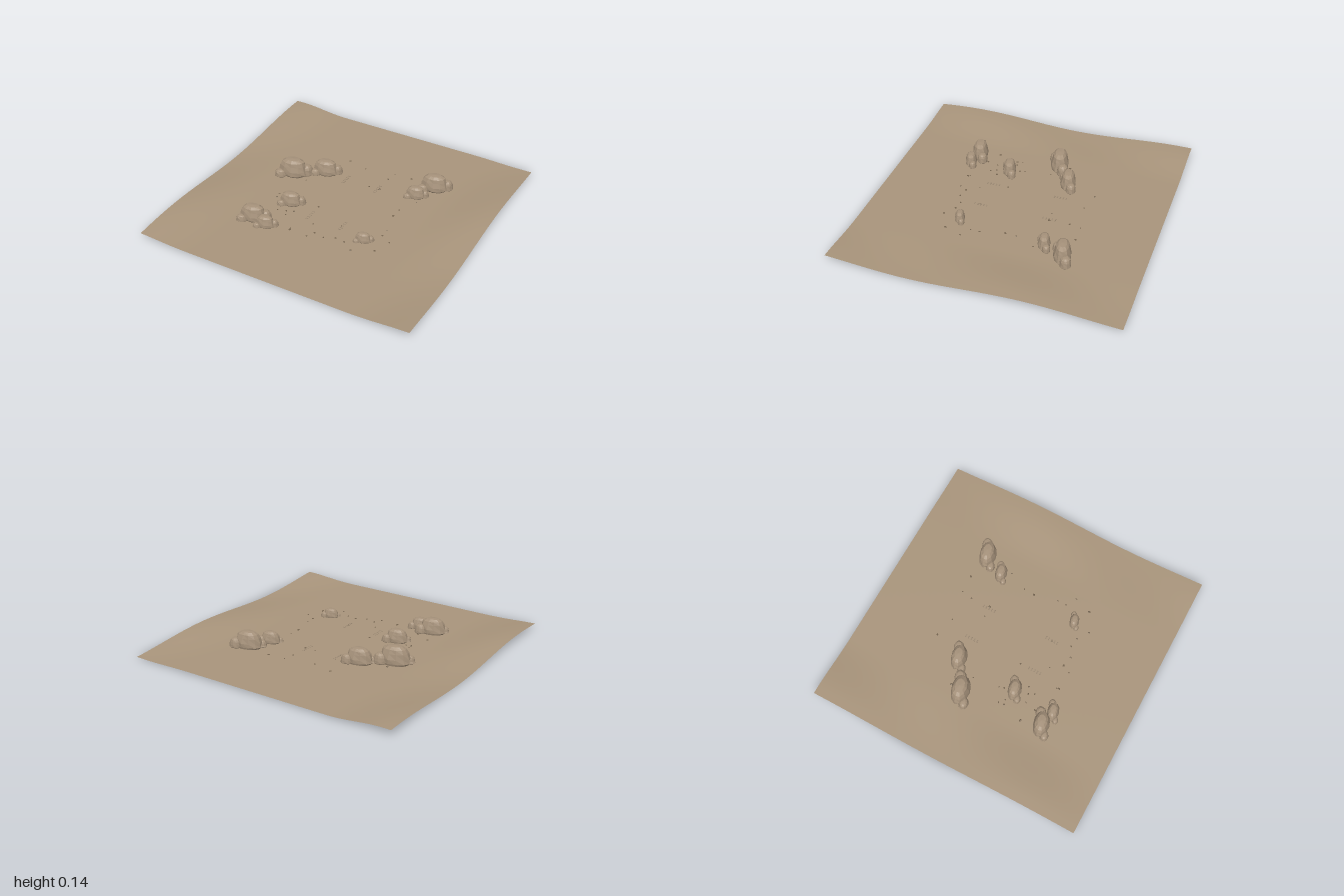
import * as THREE from 'three';

const GROUND_Y = 0.01;

function seeded(seed) {
  let s = seed;
  return () => (s = (s * 16807) % 2147483647) / 2147483647;
}

// Flat basin with slanting dunes along the two sides
function groundHeight(x, z) {
  const side = THREE.MathUtils.smoothstep(Math.abs(x), 0.55, 0.95);
  return GROUND_Y + side * (0.012 + 0.02 * Math.cos(4.0 * (z + 0.35) + 2.0 * (x - 1)));
}

function makeGround(material) {
  const geo = new THREE.PlaneGeometry(2, 2, 60, 60).rotateX(-Math.PI / 2);
  const p = geo.attributes.position;
  for (let i = 0; i < p.count; i++) p.setY(i, groundHeight(p.getX(i), p.getZ(i)));
  geo.computeVertexNormals();
  const mesh = new THREE.Mesh(geo, material);
  mesh.name = 'sandGround';
  return mesh;
}

// Unit boulder: steep sides, flattened crown, tucked-in base
function boulderGeometry(seed) {
  const rnd = seeded(seed);
  const profile = [[0, 0], [0.85, 0], [1, 0.14], [0.97, 0.36], [0.88, 0.64], [0.73, 0.84], [0.48, 0.97], [0, 1]];
  const sides = 11;
  const geo = new THREE.LatheGeometry(profile.map(([r, y]) => new THREE.Vector2(r, y)), sides);
  const wobble = Array.from({ length: sides * profile.length }, () => 0.93 + 0.12 * rnd());
  const p = geo.attributes.position;
  for (let i = 0; i < p.count; i++) {
    const column = Math.floor(i / profile.length) % sides;
    const k = wobble[column * profile.length + (i % profile.length)];
    p.setX(i, p.getX(i) * k);
    p.setZ(i, p.getZ(i) * k);
  }
  geo.computeVertexNormals();
  return geo;
}

// Stones of one outcrop: x, z, half width, half depth, height, turn
const STONES = [
  ['mainBoulder', 0, 0, 0.108, 0.066, 0.136, 0.2],
  ['upperBoulder', 0.083, -0.046, 0.05, 0.044, 0.08, 0.4],
  ['lowerBoulder', -0.07, 0.062, 0.046, 0.036, 0.056, 0.3],
];

// Outcrops: x, z, scale
const OUTCROPS = [
  [-0.5, -0.13, 1], [-0.3, -0.255, 0.85], [0.475, -0.455, 0.92], [0.4, -0.305, 0.65],
  [-0.32, 0.195, 0.73], [-0.45, 0.47, 0.87], [-0.335, 0.5, 0.63], [0.323, 0.325, 0.52],
];

// Pebble positions: x, z
const PEBBLES = [
  [0.15, -0.48], [0.28, -0.485], [-0.22, -0.475], [-0.07, -0.44], [0.135, -0.4], [0.14, -0.255],
  [0.06, -0.25], [0.44, -0.24], [0.375, -0.1], [0.37, -0.02], [-0.375, -0.1], [-0.49, -0.21],
  [0.41, 0.15], [0.41, 0.215], [0.12, 0.255], [-0.13, 0.14], [-0.45, 0.14], [-0.445, 0.18],
  [-0.35, 0.09], [-0.49, 0.33], [-0.28, 0.33], [-0.25, 0.27], [-0.36, 0.305], [-0.06, 0.33],
  [-0.03, 0.465], [-0.165, 0.46], [-0.17, 0.445], [0, 0.41], [0.075, 0.425], [0.15, 0.39],
  [0.22, 0.4], [0.3, 0.455], [0.44, 0.385], [0.485, 0.26], [-0.38, 0.385], [-0.3, 0.29],
  [-0.41, 0.17], [-0.34, 0.125],
];

export function createModel() {
  const model = new THREE.Group();
  model.name = 'desertGround';
  const sand = new THREE.MeshStandardMaterial({ color: 0xa8947b, side: THREE.DoubleSide });
  const rock = new THREE.MeshStandardMaterial({ color: 0xa5917a, flatShading: true });
  const stone = new THREE.MeshStandardMaterial({ color: 0x75644f, flatShading: true });
  const print = new THREE.MeshStandardMaterial({ color: 0x978570 });

  model.add(makeGround(sand));

  // Rock outcrops, each one large boulder with two smaller ones
  const shapes = STONES.map((_, i) => boulderGeometry(17 + i * 91));
  for (const [x, z, scale] of OUTCROPS) {
    const outcrop = new THREE.Group();
    outcrop.name = 'rockOutcrop';
    STONES.forEach(([name, sx, sz, w, d, h, turn], i) => {
      const mesh = new THREE.Mesh(shapes[i], rock);
      mesh.name = name;
      mesh.position.set(sx, 0, sz);
      mesh.scale.set(w, h, d);
      mesh.rotation.y = turn;
      outcrop.add(mesh);
    });
    outcrop.position.set(x, 0.005, z);
    outcrop.scale.setScalar(scale);
    model.add(outcrop);
  }

  // Scattered pebbles
  const rnd = seeded(5);
  const pebbleGeo = new THREE.DodecahedronGeometry(1);
  for (const [x, z] of PEBBLES) {
    const pebble = new THREE.Mesh(pebbleGeo, stone);
    pebble.name = 'pebble';
    const r = 0.004 + 0.004 * rnd();
    pebble.scale.set(r * 1.3, r * 0.7, r);
    pebble.position.set(x, groundHeight(x, z) + 0.001, z);
    pebble.rotation.y = rnd() * Math.PI;
    model.add(pebble);
  }

  // Four faint patches of tread marks, nearly flush with the sand
  const treadGeo = new THREE.BoxGeometry(0.009, 0.001, 0.008);
  for (const cx of [-0.13, 0.125]) for (const cz of [-0.25, 0.25]) {
    for (let row = -2; row <= 2; row++) for (const side of [-1, 1]) {
      const tread = new THREE.Mesh(treadGeo, print);
      tread.name = 'treadMark';
      tread.position.set(cx + side * 0.006, GROUND_Y + 0.0003, cz + row * 0.022);
      model.add(tread);
    }
  }
  return model;
}
